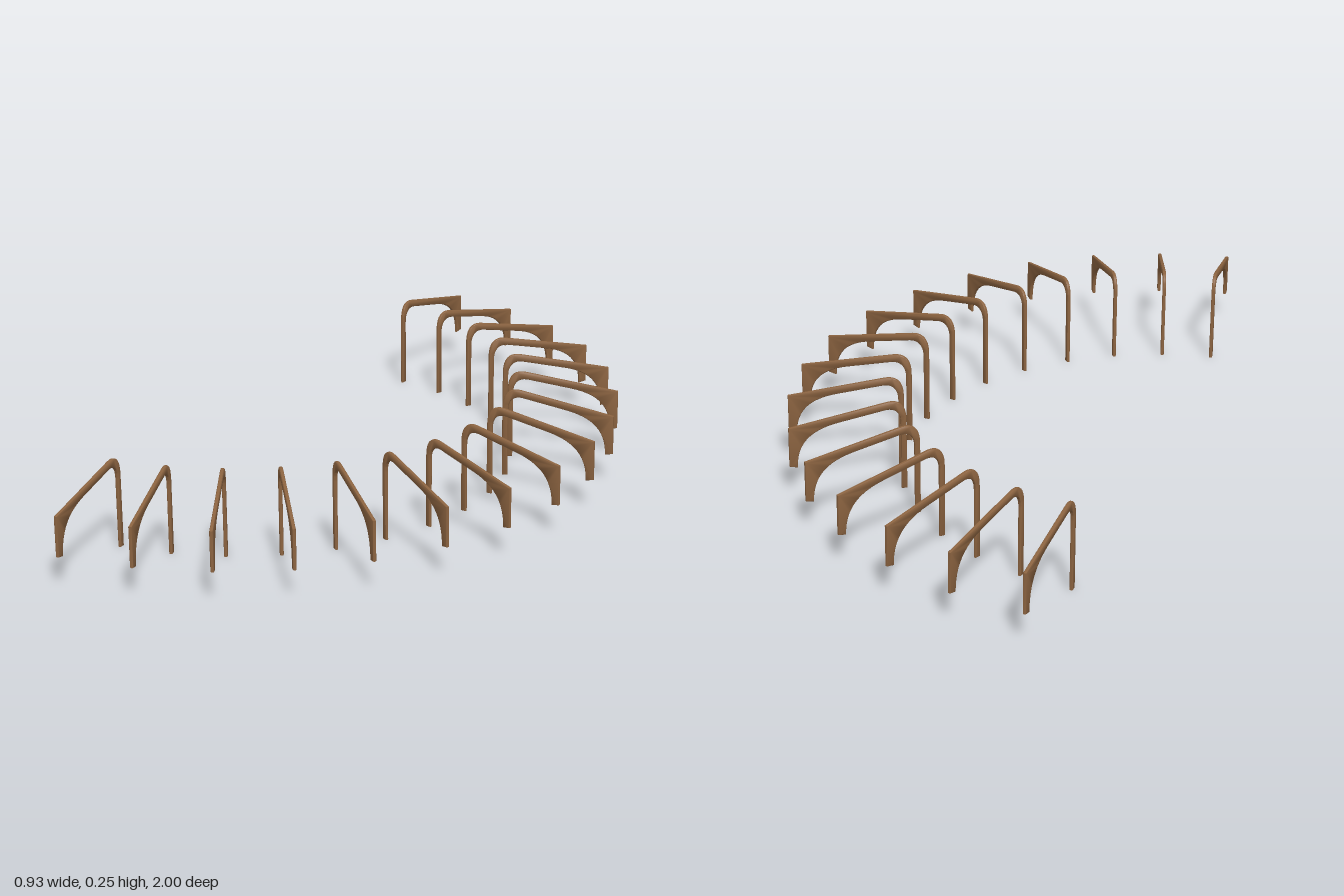
import * as THREE from 'three';
import { toCreasedNormals } from 'three/addons/utils/BufferGeometryUtils.js';

const COUNT = 16;          // brackets around the half circle
const INNER_RADIUS = 0.703;
const CENTRE_X = -0.535;
const THICKNESS = 0.0095;
const BEVEL = 0.003;

// Side outline of one bracket: post, bent shoulder, sloping arm, flared end
function bracketGeometry() {
  const s = new THREE.Shape();
  s.moveTo(0, 0);
  s.lineTo(0, 0.195);
  s.bezierCurveTo(0, 0.232, 0.016, 0.252, 0.05, 0.245);
  s.lineTo(0.301, 0.193);
  s.lineTo(0.301, 0.086);
  s.lineTo(0.28, 0.082);
  s.bezierCurveTo(0.28, 0.15, 0.245, 0.185, 0.17, 0.2);
  s.lineTo(0.055, 0.224);
  s.bezierCurveTo(0.03, 0.229, 0.0145, 0.215, 0.0145, 0.185);
  s.lineTo(0.0145, 0);
  s.closePath();
  const g = new THREE.ExtrudeGeometry(s, {
    depth: THICKNESS - 2 * BEVEL,
    curveSegments: 12,
    bevelEnabled: true,
    bevelThickness: BEVEL,
    bevelSize: BEVEL,
    bevelOffset: -BEVEL,
    bevelSegments: 3,
  });
  g.translate(0, 0, -(THICKNESS - 2 * BEVEL) / 2);
  return toCreasedNormals(g, 0.9);
}

export function createModel() {
  const model = new THREE.Group();
  model.name = 'bracketArc';
  const wood = new THREE.MeshStandardMaterial({ color: 0x8b6340 });
  wood.name = 'brownWood';
  const geometry = bracketGeometry();

  // Brackets radiate evenly over a half circle
  for (let i = 0; i < COUNT; i++) {
    const angle = ((i + 0.5) / COUNT - 0.5) * Math.PI;
    const bracket = new THREE.Mesh(geometry, wood);
    bracket.name = `bracket${i + 1}`;
    bracket.position.set(
      CENTRE_X + INNER_RADIUS * Math.cos(angle), 0, INNER_RADIUS * Math.sin(angle));
    bracket.rotation.y = -angle;
    model.add(bracket);
  }
  return model;
}
